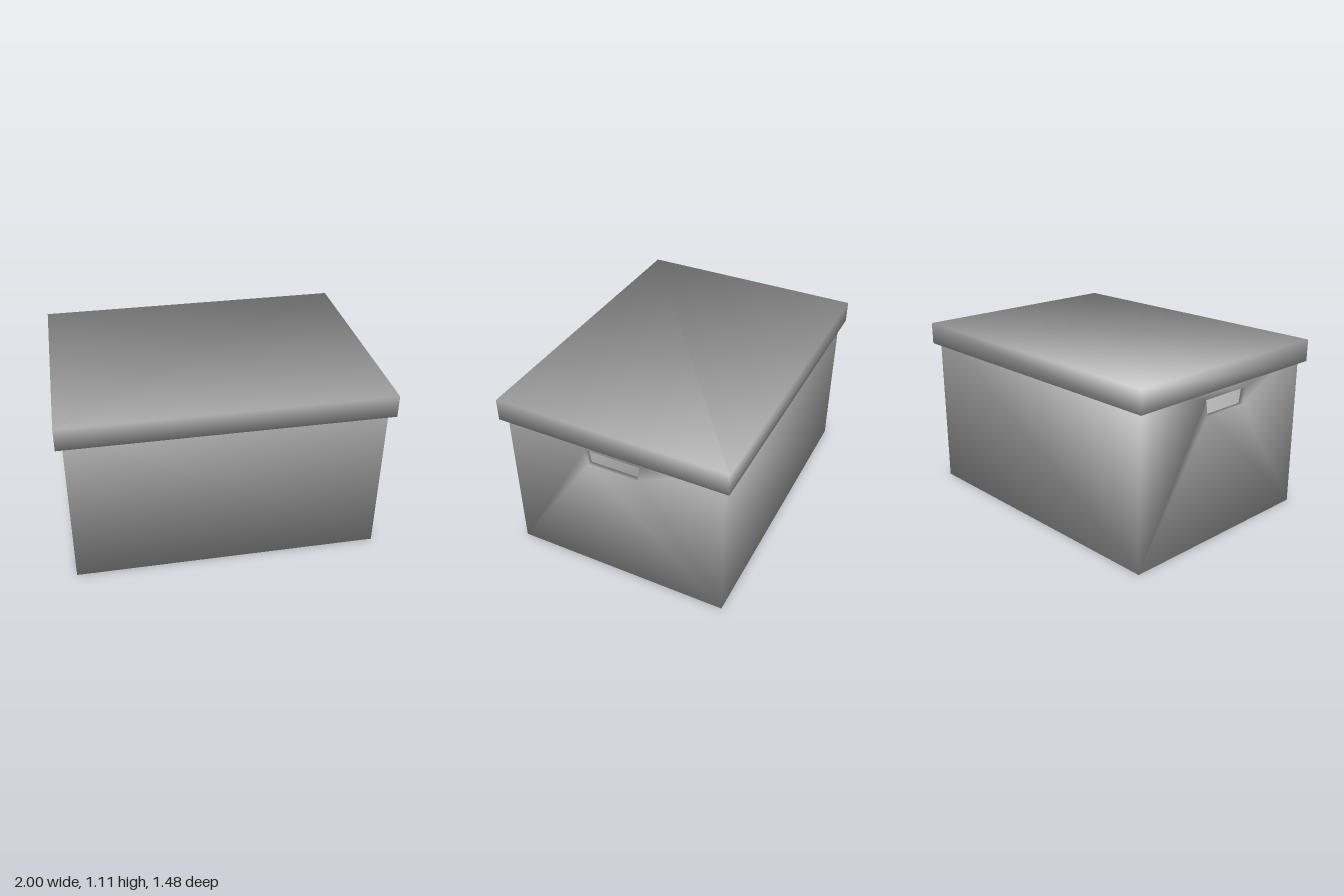
import * as THREE from 'three';
import { mergeGeometries, mergeVertices } from 'three/addons/utils/BufferGeometryUtils.js';

const V = (x, y, z) => new THREE.Vector3(x, y, z);

// Strip of quads joining two closed loops of points
function bridge(a, b) {
  const n = a.length;
  const index = [];
  for (let i = 0; i < n; i++) {
    const j = (i + 1) % n;
    index.push(i, j, n + i, j, n + j, n + i);
  }
  return new THREE.BufferGeometry().setFromPoints([...a, ...b]).setIndex(index);
}

const quad = corners => new THREE.BufferGeometry().setFromPoints(corners).setIndex([0, 1, 3, 1, 2, 3]);

// Place [across, up] points on an end wall (s = side) or on the front or back wall
const onEnd = (points, s, x) => points.map(([u, y]) => V(s * x, y, -s * u));
const onFront = (points, s, z) => points.map(([u, y]) => V(s * u, y, s * z));

// Four walls and a floor, open at the top, facing outwards
function skin(hx, hz, y0, y1, hole) {
  const rect = h => [[-h, y0], [h, y0], [h, y1], [-h, y1]];
  const parts = [quad([V(-hx, y0, hz), V(-hx, y0, -hz), V(hx, y0, -hz), V(hx, y0, hz)])];
  for (const s of [1, -1]) {
    const end = onEnd(rect(hz), s, hx);
    parts.push(quad(onFront(rect(hx), s, hz)));
    parts.push(hole ? bridge(end, onEnd(hole, s, hx)) : quad(end));
  }
  return parts;
}

// Soft normals: every face counts by its angle at the corner, not by its area
function smoothNormals(geometry) {
  const position = geometry.attributes.position;
  const index = geometry.index.array;
  const sums = Array.from({ length: position.count }, () => V(0, 0, 0));
  for (let i = 0; i < index.length; i += 3) {
    const ids = [index[i], index[i + 1], index[i + 2]];
    const p = ids.map(id => V(0, 0, 0).fromBufferAttribute(position, id));
    const normal = new THREE.Triangle(...p).getNormal(V(0, 0, 0));
    ids.forEach((id, k) => {
      const toNext = p[(k + 1) % 3].clone().sub(p[k]);
      const toLast = p[(k + 2) % 3].clone().sub(p[k]);
      sums[id].addScaledVector(normal, toNext.angleTo(toLast));
    });
  }
  const normals = sums.flatMap(n => n.normalize().toArray());
  geometry.setAttribute('normal', new THREE.Float32BufferAttribute(normals, 3));
  return geometry;
}

// Hollow open-topped box with wall thickness t, welded for soft shading
function hollowBox(hx, hz, height, t, hole) {
  const inner = skin(hx - t, hz - t, t, height, hole);
  inner.forEach(g => g.setIndex(Array.from(g.index.array).reverse()));
  const rim = (x, z) => [V(x, height, z), V(x, height, -z), V(-x, height, -z), V(-x, height, z)];
  const parts = [...skin(hx, hz, 0, height, hole), ...inner,
    bridge(rim(hx, hz), rim(hx - t, hz - t))];
  if (hole) {
    for (const s of [1, -1]) parts.push(bridge(onEnd(hole, s, hx), onEnd(hole, s, hx - t)));
  }
  return smoothNormals(mergeVertices(mergeGeometries(parts)));
}

export function createModel() {
  const group = new THREE.Group();
  group.name = 'storageBox';
  const material = new THREE.MeshStandardMaterial({ color: 0xa8a8a8 });

  // Body with a tapered hand hole in each end
  const handHole = [[-0.16, 0.812], [0.16, 0.812], [0.178, 0.915], [-0.178, 0.915]];
  const body = new THREE.Mesh(hollowBox(0.96, 0.705, 1.07, 0.03, handHole), material);
  body.name = 'boxBody';

  // Overhanging lid: a shallow hollow box turned upside down
  const lid = new THREE.Mesh(
    hollowBox(1, 0.742, 0.14, 0.02).rotateX(Math.PI).translate(0, 1.112, 0), material);
  lid.name = 'lid';

  group.add(body, lid);
  return group;
}
